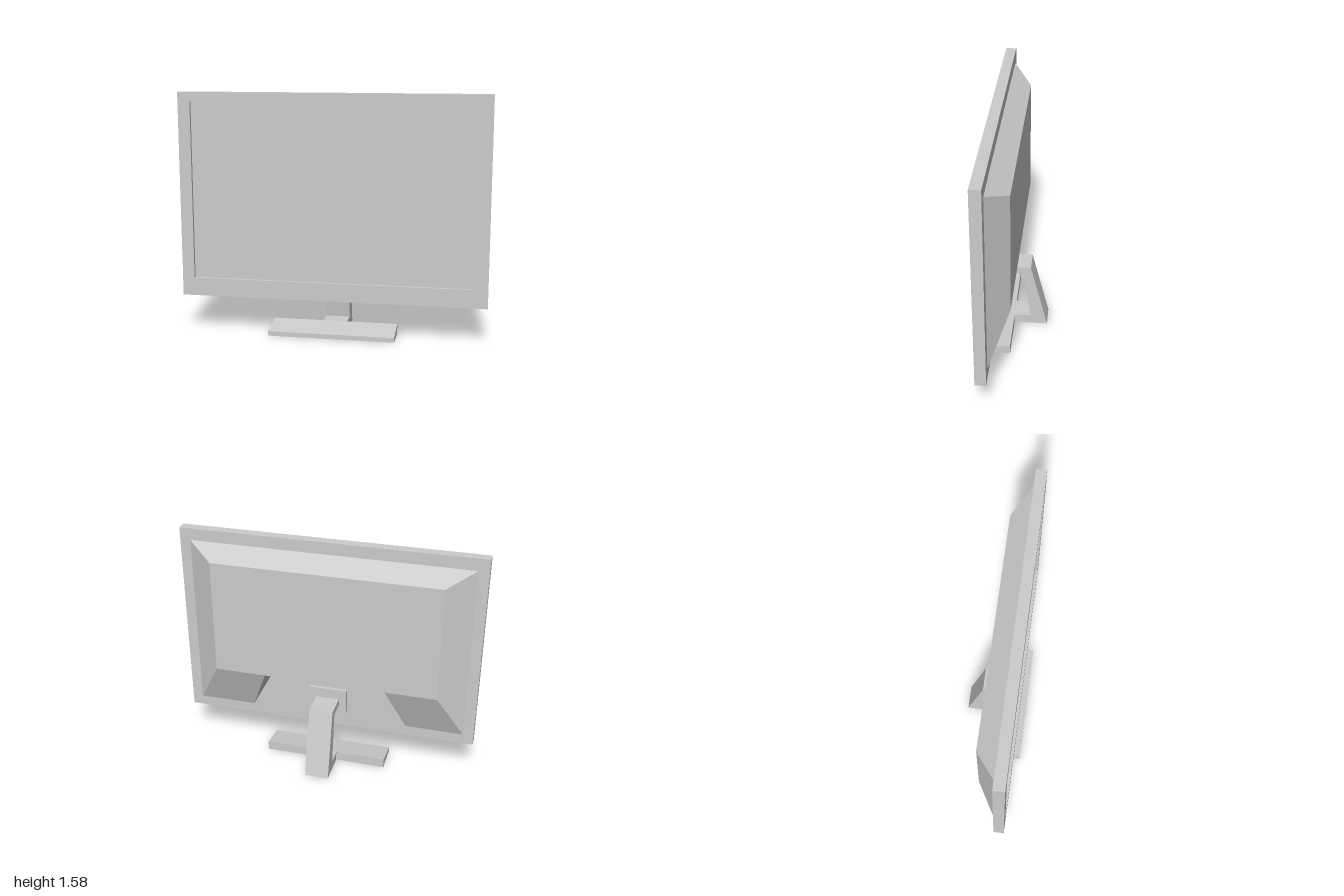
import * as THREE from 'three';

const material = new THREE.MeshStandardMaterial({ color: 0xcccccc, flatShading: true });

function addMesh(parent, name, geometry) {
  const mesh = new THREE.Mesh(geometry, material);
  mesh.name = name;
  parent.add(mesh);
  return mesh;
}

// Box given by its lower and upper corners
function boxBetween([x0, y0, z0], [x1, y1, z1]) {
  return new THREE.BoxGeometry(x1 - x0, y1 - y0, z1 - z0)
    .translate((x0 + x1) / 2, (y0 + y1) / 2, (z0 + z1) / 2);
}

// Side profile of [z, y] points, extruded along x and centred on x = 0
function sideProfile(points, width) {
  const shape = new THREE.Shape(points.map(([z, y]) => new THREE.Vector2(z, y)));
  return new THREE.ExtrudeGeometry(shape, { depth: width, bevelEnabled: false })
    .translate(0, 0, -width / 2)
    .rotateY(-Math.PI / 2);
}

function rectangle(Type, x, y0, y1) {
  return new Type([[-x, y0], [x, y0], [x, y1], [-x, y1]].map(([a, b]) => new THREE.Vector2(a, b)));
}

// Tapered rear housing with a flared notch at the bottom for the stand
function housingGeometry() {
  const baseZ = 0.1, backZ = -0.025;
  const corners = (s) => ({
    baseTop: [s * 0.93, 1.5, baseZ],
    baseLow: [s * 0.93, 0.31, baseZ],
    backTop: [s * 0.755, 1.41, backZ],
    backLow: [s * 0.755, 0.63, backZ],
    notchLow: [s * 0.54, 0.31, baseZ],
    notchTop: [s * 0.41, 0.63, backZ],
    notchInner: [s * 0.41, 0.557, baseZ],
  });
  const l = corners(1), r = corners(-1);
  const faces = [
    [l.backTop, l.backLow, r.backLow, r.backTop],
    [l.baseTop, l.backTop, r.backTop, r.baseTop],
    [l.notchTop, l.notchInner, r.notchInner, r.notchTop],
  ];
  for (const c of [l, r]) {
    const half = [
      [c.baseTop, c.baseLow, c.backLow, c.backTop],
      [c.backLow, c.baseLow, c.notchLow, c.notchTop],
      [c.notchTop, c.notchLow, c.notchInner],
    ];
    faces.push(...(c === l ? half : half.map((f) => f.reverse())));
  }
  const positions = [];
  for (const f of faces) {
    for (let i = 1; i < f.length - 1; i++) positions.push(...f[0], ...f[i], ...f[i + 1]);
  }
  const geometry = new THREE.BufferGeometry();
  geometry.setAttribute('position', new THREE.Float32BufferAttribute(positions, 3));
  geometry.computeVertexNormals();
  return geometry;
}

export function createModel() {
  const model = new THREE.Group();
  model.name = 'monitor';

  // Display: bezel, recessed screen and rear housing
  const display = new THREE.Group();
  display.name = 'display';
  model.add(display);
  const bezel = rectangle(THREE.Shape, 1, 0.24, 1.58);
  bezel.holes.push(rectangle(THREE.Path, 0.92, 0.36, 1.52));
  addMesh(display, 'bezel',
    new THREE.ExtrudeGeometry(bezel, { depth: 0.07, bevelEnabled: false }).translate(0, 0, 0.1));
  addMesh(display, 'screen', boxBetween([-0.92, 0.36, 0.1], [0.92, 1.52, 0.15]));
  addMesh(display, 'rearHousing', housingGeometry());

  // Stand: mounting plate, bent arm and wedge foot
  const stand = new THREE.Group();
  stand.name = 'stand';
  model.add(stand);
  addMesh(stand, 'mountPlate', boxBetween([-0.13, 0.35, 0.1 - 0.025], [0.13, 0.53, 0.1]));
  addMesh(stand, 'arm', sideProfile([
    [0.08, 0.46], [-0.095, 0.46], [-0.21, 0], [0.015, 0],
    [0.015, 0.063], [-0.095, 0.063], [-0.045, 0.415], [0.08, 0.415],
  ], 0.16));
  addMesh(stand, 'foot', sideProfile([
    [0.015, 0], [0.21, 0], [0.21, 0.03], [0.015, 0.063],
  ], 0.83));

  return model;
}
